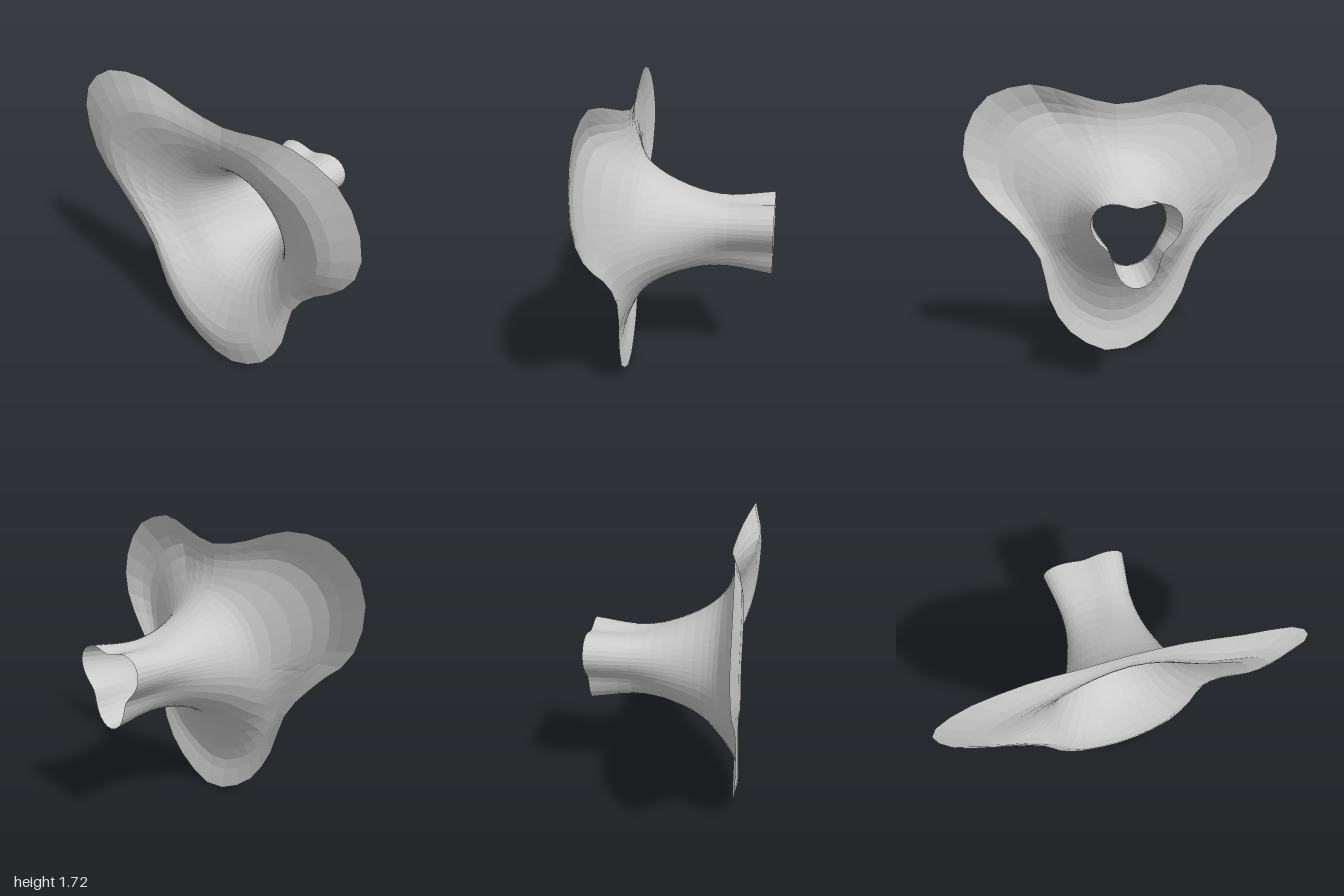
import * as THREE from 'three';

const AROUND = 44, ALONG = 20;
const CX = 0.035, CY = 0.915; // axis of the throat

// wavy three-lobed front rim, anticlockwise from the top notch
const RIM = [
  [0.05, 1.6, 0.335], [-0.2, 1.64, 0.345], [-0.41, 1.705, 0.36], [-0.54, 1.72, 0.37],
  [-0.77, 1.675, 0.38], [-0.95, 1.52, 0.385], [-1, 1.34, 0.385], [-0.92, 1.08, 0.395],
  [-0.73, 0.91, 0.405], [-0.5, 0.66, 0.41], [-0.37, 0.33, 0.41], [-0.2, 0.11, 0.4],
  [0.08, -0.005, 0.385], [0.34, 0.13, 0.375], [0.47, 0.34, 0.35], [0.54, 0.65, 0.34],
  [0.66, 0.82, 0.36], [0.86, 1.01, 0.405], [0.97, 1.18, 0.425], [0.99, 1.37, 0.435],
  [0.88, 1.605, 0.44], [0.77, 1.675, 0.44], [0.55, 1.72, 0.43], [0.32, 1.665, 0.375],
].map(p => new THREE.Vector3(...p));

// tube sections from the back to the flare: z, mean radius, lobe depth
const SECTIONS = [
  [-0.48, 0.215, 0.053], [-0.2, 0.197, 0.03], [0, 0.24, 0.01], [0.2, 0.33, 0], [0.3, 0.425, 0],
];

// lengthwise curve from the tube's end to one point of the rim
function rib(rim) {
  const dx = rim.x - CX, dy = rim.y - CY;
  const a = Math.atan2(dy, dx), R = Math.hypot(dx, dy);
  const at = (r, z) => new THREE.Vector3(CX + r * Math.cos(a), CY + r * Math.sin(a), z);
  const pts = SECTIONS.map(([z, r, d]) => at(r + d * Math.cos(3 * (a + Math.PI / 2)), z));
  // lobes crown forward before curling back at the rim
  const lobe = THREE.MathUtils.smoothstep(R, 0.55, 1.15);
  pts.push(at(THREE.MathUtils.lerp(0.425, R, 0.57), rim.z + 0.008 + 0.035 * lobe), rim);
  return new THREE.CatmullRomCurve3(pts);
}

export function createModel() {
  const group = new THREE.Group();
  const rimCurve = new THREE.CatmullRomCurve3(RIM, true);
  const pos = [], idx = [];
  for (let i = 0; i < AROUND; i++) {
    const curve = rib(rimCurve.getPointAt(i / AROUND));
    for (let j = 0; j <= ALONG; j++) pos.push(...curve.getPoint(j / ALONG).toArray());
  }
  const row = ALONG + 1;
  for (let i = 0; i < AROUND; i++) {
    const n = (i + 1) % AROUND;
    for (let j = 0; j < ALONG; j++) {
      const a = i * row + j, b = n * row + j;
      idx.push(a, a + 1, b, b, a + 1, b + 1);
    }
  }
  const geo = new THREE.BufferGeometry();
  geo.setAttribute('position', new THREE.Float32BufferAttribute(pos, 3));
  geo.setIndex(idx);
  geo.computeVertexNormals();
  const horn = new THREE.Mesh(geo, new THREE.MeshStandardMaterial({
    color: 0xcccccc, flatShading: true, side: THREE.DoubleSide,
  }));
  horn.name = 'lobedHorn';
  group.add(horn);
  return group;
}
